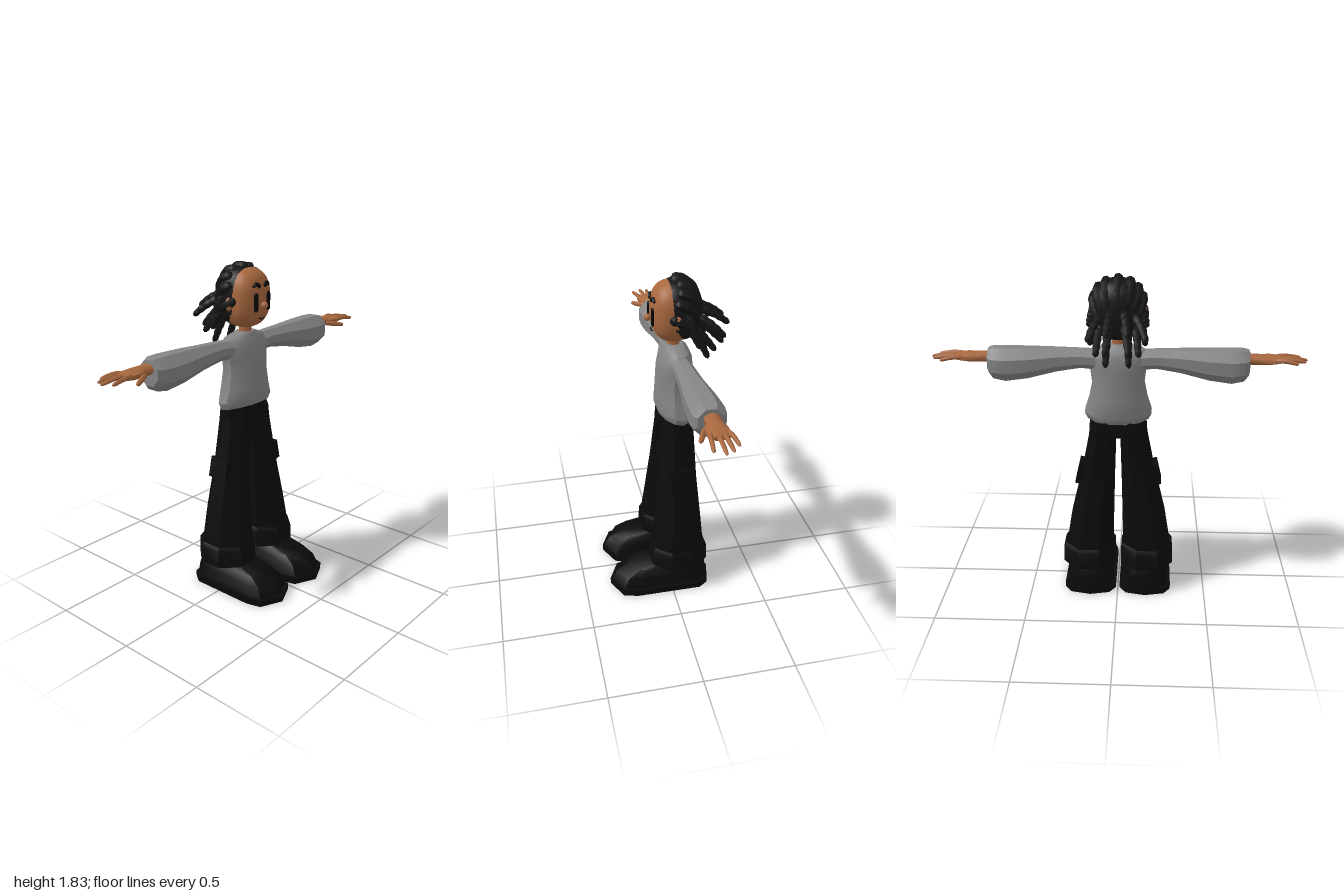
import * as THREE from 'three';
import { toCreasedNormals } from 'three/addons/utils/BufferGeometryUtils.js';

const V = (x, y, z) => new THREE.Vector3(x, y, z);
const mat = (color) => new THREE.MeshStandardMaterial({ color, side: THREE.DoubleSide });
const skin = mat(0xa8683f), knit = mat(0x858585), cloth = mat(0x0b0b0b);
const shoeMat = mat(0x0a0a0a), hairMat = mat(0x161616), ink = mat(0x050505);

// Closed skin over a stack of equal-length rings, with capped ends.
function loft(rings, crease = 0.6) {
  const n = rings[0].length, pts = rings.flat(), idx = [];
  for (let r = 0; r < rings.length - 1; r++) for (let i = 0; i < n; i++) {
    const a = r * n + i, b = r * n + (i + 1) % n;
    idx.push(a, b, a + n, b, b + n, a + n);
  }
  [0, rings.length - 1].forEach((r) => {
    const c = rings[r].reduce((s, p) => s.add(p), V(0, 0, 0)).divideScalar(n);
    const k = pts.push(c) - 1;
    for (let i = 0; i < n; i++) {
      const a = r * n + i, b = r * n + (i + 1) % n;
      if (r) idx.push(a, b, k); else idx.push(b, a, k);
    }
  });
  // Turn the faces outward if the enclosed volume is negative.
  let vol = 0;
  for (let i = 0; i < idx.length; i += 3)
    vol += pts[idx[i]].dot(pts[idx[i + 1]].clone().cross(pts[idx[i + 2]]));
  if (vol < 0) idx.reverse();
  const g = new THREE.BufferGeometry().setFromPoints(pts);
  g.setIndex(idx);
  return toCreasedNormals(g, crease);
}

// Rows are [position, a0, a1, b0, b1]; each is a polygon that fills that box.
function sections(rows, n, place) {
  const grow = 1 / Math.cos(Math.PI / n);
  return rows.map(([t, a0, a1, b0, b1]) => Array.from({ length: n }, (_, i) => {
    const q = (i + 0.5) / n * Math.PI * 2;
    return place(t, (a0 + a1) / 2 + (a1 - a0) / 2 * Math.cos(q) * grow,
      (b0 + b1) / 2 + (b1 - b0) / 2 * Math.sin(q) * grow);
  }));
}

// Tube with round ends, a taper and optional bumps along its length.
function strand(points, r, taper = 0.7, bumps = 0, radial = 7) {
  const seg = 20, curve = new THREE.CatmullRomCurve3(points);
  const g = new THREE.TubeGeometry(curve, seg, r, radial);
  const p = g.attributes.position, v = V(0, 0, 0);
  for (let i = 0; i <= seg; i++) {
    const t = i / seg, c = curve.getPointAt(t);
    const end = Math.sqrt(Math.max(0, 1 - Math.pow(Math.abs(2 * t - 1), 8)));
    const f = end * (1 + (taper - 1) * t) * (1 + bumps * Math.sin(t * 30));
    for (let j = 0; j <= radial; j++) {
      const k = i * (radial + 1) + j;
      v.fromBufferAttribute(p, k).sub(c).multiplyScalar(f).add(c);
      p.setXYZ(k, v.x, v.y, v.z);
    }
  }
  g.computeVertexNormals();
  return g;
}

// Boxy egg used for the head and everything that lies on it.
const soft = (c) => Math.sign(c) * Math.pow(Math.abs(c), 0.8);
const onHead = (d, k = 1) =>
  V(soft(d.x) * 0.13 * k, 1.643 + soft(d.y) * 0.16 * k, -0.055 + soft(d.z) * 0.122 * k);
function egg(k = 1) {
  const g = new THREE.SphereGeometry(1, 28, 20), p = g.attributes.position, v = V(0, 0, 0);
  for (let i = 0; i < p.count; i++) {
    const q = onHead(v.fromBufferAttribute(p, i), k);
    p.setXYZ(i, q.x, q.y, q.z);
  }
  g.computeVertexNormals();
  return g;
}

export function createModel() {
  const root = new THREE.Group();
  const add = (name, geo, material, parent = root) => {
    const m = new THREE.Mesh(geo, material);
    m.name = name;
    parent.add(m);
    return m;
  };
  const group = (name) => {
    const g = new THREE.Group();
    g.name = name;
    root.add(g);
    return g;
  };

  // Sweater body, its hem dropping toward the back
  const torso = [
    [1.045, -0.165, 0.165, -0.15, 0.03], [1.08, -0.182, 0.182, -0.165, 0.042],
    [1.16, -0.158, 0.158, -0.16, 0.04], [1.25, -0.14, 0.14, -0.155, 0.035],
    [1.33, -0.15, 0.15, -0.155, 0.03], [1.39, -0.165, 0.165, -0.15, 0.018],
    [1.43, -0.14, 0.14, -0.135, 0.0], [1.46, -0.06, 0.06, -0.105, -0.012]];
  add('sweaterBody', loft(sections(torso, 12, (y, x, z) =>
    V(x, y + (y < 1.1 ? (z + 0.06) * 0.2 : 0), z))), knit);

  // Trouser seat
  add('trouserSeat', loft(sections([
    [0.95, -0.158, 0.158, -0.15, 0.022], [1.02, -0.155, 0.155, -0.15, 0.022],
    [1.1, -0.145, 0.145, -0.14, 0.015]], 8, (y, x, z) => V(x, y, z))), cloth);

  for (const s of [1, -1]) {
    const side = s > 0 ? 'left' : 'right';
    const upright = (y, x, z) => V(x * s, y, z), along = (x, y, z) => V(x * s, y, z);

    // Sleeve, ballooning toward the wrist
    add(side + 'Sleeve', loft(sections([
      [0.1, 1.32, 1.425, -0.125, -0.015], [0.2, 1.33, 1.43, -0.125, -0.02],
      [0.33, 1.31, 1.434, -0.135, -0.015], [0.48, 1.275, 1.437, -0.16, -0.002],
      [0.6, 1.26, 1.438, -0.17, 0.002], [0.665, 1.272, 1.437, -0.162, 0],
      [0.69, 1.3, 1.43, -0.14, -0.015]], 8, along)), knit);

    // Hand with four fingers and a thumb
    const hand = group(side + 'Hand');
    add('palm', loft(sections([
      [0.66, 1.36, 1.412, -0.115, -0.045], [0.75, 1.358, 1.41, -0.12, -0.04],
      [0.8, 1.36, 1.408, -0.13, -0.022], [0.845, 1.366, 1.403, -0.13, -0.022],
      [0.87, 1.374, 1.398, -0.12, -0.03]], 8, along), 1.0), skin, hand);
    [[0.94, -0.142, -0.118], [0.985, -0.105, -0.093], [1, -0.066, -0.068], [0.97, -0.016, -0.037]]
      .forEach(([x, z, z0]) => add('finger', strand([V(s * 0.82, 1.387, z0),
        V(s * (0.45 * x + 0.45), 1.39, (z + z0) / 2), V(s * x, 1.378, z)], 0.0135), skin, hand));
    add('thumb', strand([V(s * 0.74, 1.378, -0.055), V(s * 0.79, 1.368, -0.015),
      V(s * 0.845, 1.358, 0.012)], 0.017), skin, hand);

    // Flared trouser leg, turned-up cuff and side pocket
    add(side + 'TrouserLeg', loft(sections([
      [1.03, 0.0, 0.152, -0.148, 0.02], [0.95, 0.012, 0.16, -0.15, 0.022],
      [0.7, 0.02, 0.208, -0.16, 0.042], [0.46, 0.026, 0.265, -0.178, 0.065],
      [0.25, 0.03, 0.298, -0.195, 0.09]], 8, upright)), cloth);
    add(side + 'TrouserCuff', loft(sections([
      [0.155, 0.016, 0.315, -0.215, 0.106], [0.25, 0.018, 0.313, -0.212, 0.102],
      [0.272, 0.03, 0.3, -0.198, 0.09]], 8, upright)), cloth);
    const pocket = add(side + 'Pocket', new THREE.BoxGeometry(0.05, 0.115, 0.12), cloth);
    pocket.position.set(s * 0.204, 0.713, -0.06);
    pocket.rotation.z = s * 0.22;

    // Shoe with a pointed toe on a flat sole
    const half = [[0, 1], [0.85, 0.9], [1, 0.76], [1, 0.13], [0.75, 0.04], [0, 0]];
    const outline = [...half, ...half.slice(1, -1).reverse().map(([u, w]) => [-u, w])];
    const shoeRings = (rows) => rows.map(([y, w, front, back]) =>
      outline.map(([u, t]) => V(s * (0.158 + u * w), y, back + (front - back) * t)));
    add(side + 'Sole', loft(shoeRings([[0, 0.147, 0.35, -0.235], [0.036, 0.147, 0.35, -0.235]])), shoeMat);
    add(side + 'Shoe', loft(shoeRings([
      [0.03, 0.132, 0.34, -0.228], [0.095, 0.116, 0.305, -0.22],
      [0.137, 0.096, 0.23, -0.21], [0.165, 0.08, 0.1, -0.195]])), shoeMat);

    // Eye, brow and ear
    const eye = add(side + 'Eye', new THREE.CapsuleGeometry(0.015, 0.072, 4, 10), ink);
    eye.scale.z = 0.5;
    eye.position.set(s * 0.049, 1.631, 0.063);
    add(side + 'Brow', strand([V(s * 0.018, 1.707, 0.062), V(s * 0.04, 1.727, 0.058),
      V(s * 0.064, 1.712, 0.054)], 0.011, 0.8), ink);
    const ear = add(side + 'Ear', new THREE.SphereGeometry(1, 12, 10), skin);
    ear.scale.set(0.018, 0.036, 0.024);
    ear.position.set(s * 0.137, 1.622, -0.05);
    ear.rotation.y = s * 0.3;
  }

  // Neck, head, nose and mouth
  const neck = add('neck', new THREE.CylinderGeometry(0.034, 0.036, 0.12, 12), skin);
  neck.position.set(0, 1.475, -0.057);
  add('head', egg(), skin);
  const nose = add('nose', new THREE.SphereGeometry(0.019, 12, 10), skin);
  nose.position.set(0, 1.614, 0.08);
  add('mouth', strand([V(-0.025, 1.547, 0.059), V(0, 1.54, 0.061), V(0.025, 1.547, 0.059)],
    0.0035, 1), ink);

  // Scalp shell behind the hairline
  const scalp = add('scalp', egg(1.0), hairMat);
  scalp.scale.set(1.03, 1, 1);
  scalp.position.set(0, 0.006, -0.025);

  // Braided rows from the hairline to the lower back of the head
  const hair = group('hair');
  const tilt = new THREE.Vector3(1, 0, 0);
  for (let i = -4; i <= 4; i++) {
    const phi = i * 0.41, path = [];
    for (let k = 0; k <= 7; k++) {
      const start = 1.08 + 0.26 * Math.abs(Math.sin(phi));
      const a = start + (2.75 - start) * k / 7;
      const d = V(Math.sin(a) * Math.sin(phi), Math.sin(a) * Math.cos(phi), Math.cos(a));
      path.push(onHead(d.applyAxisAngle(tilt, -0.42), 1.02));
    }
    add('braidRow', strand(path, 0.028, 0.9, 0.04), hairMat, hair);
  }

  // Loose locks: start x, y, z then tip x, y, z, mirrored
  const locks = [
    [0.03, 1.66, -0.17, 0.055, 1.565, -0.345], [0.08, 1.64, -0.15, 0.15, 1.53, -0.3],
    [0.03, 1.6, -0.16, 0.06, 1.46, -0.315], [0.09, 1.58, -0.13, 0.11, 1.44, -0.26],
    [0.05, 1.57, -0.14, 0.06, 1.375, -0.235], [0.11, 1.6, -0.1, 0.145, 1.475, -0.17],
    [0.12, 1.66, -0.1, 0.15, 1.565, -0.14]];
  for (const s of [1, -1]) for (const [x, y, z, tx, ty, tz] of locks)
    add('looseLock', strand([V(s * x, y, z),
      V(s * (x * 0.45 + tx * 0.55), y * 0.5 + ty * 0.5 + 0.012, z * 0.5 + tz * 0.5),
      V(s * tx, ty, tz)], 0.025, 0.65, 0.08), hairMat, hair);

  return root;
}
